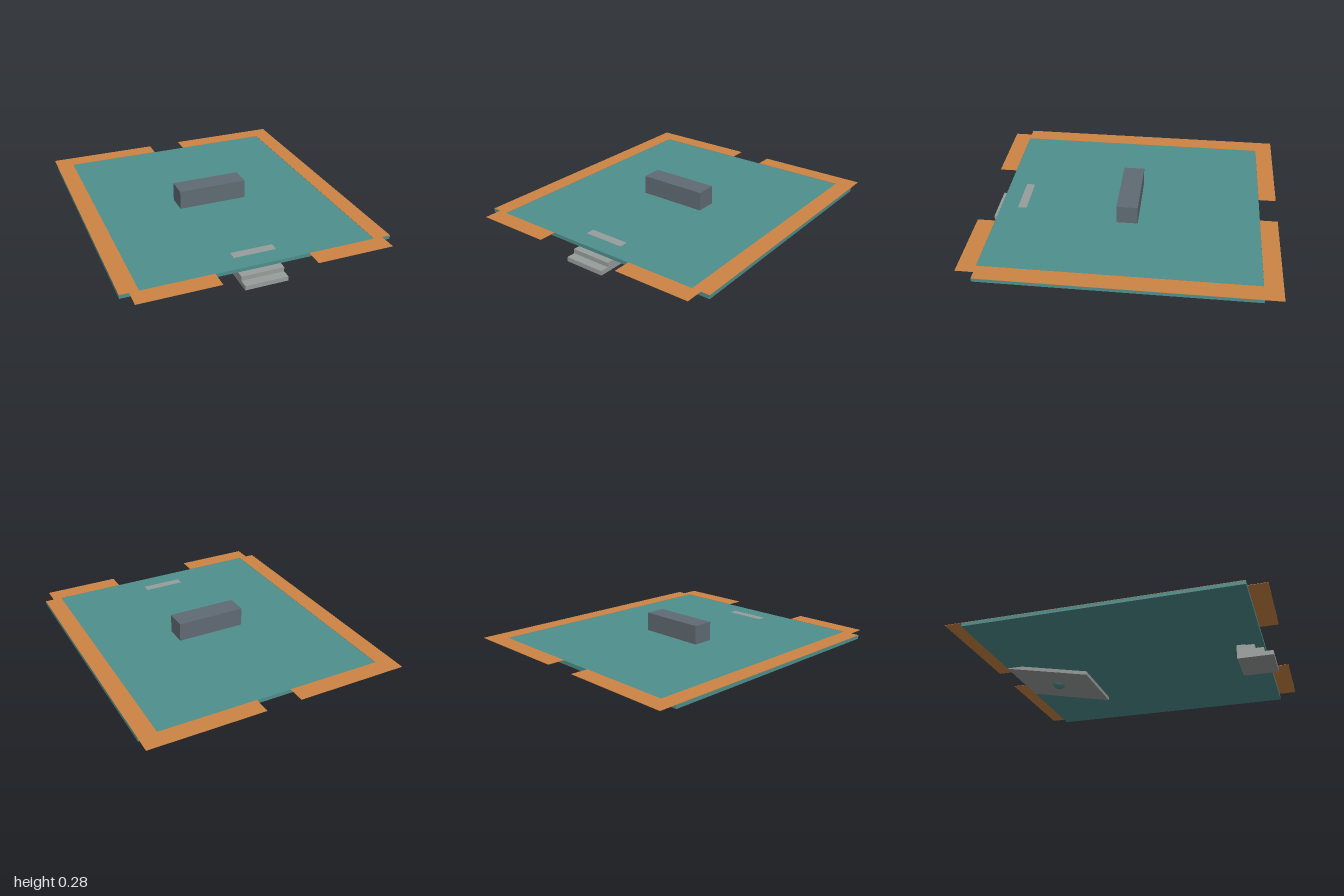
import * as THREE from 'three';

const flat = (name, color) => Object.assign(new THREE.MeshStandardMaterial({ color }), { name });

export function createModel() {
  const teal = flat('teal', 0x4e8f8d);
  const orange = flat('orange', 0xcd8444);
  const grey = flat('light grey', 0x979d9b);
  const slate = flat('slate', 0x606b74);

  const group = new THREE.Group();
  const add = (name, geometry, material, x = 0, y = 0, z = 0) => {
    const mesh = new THREE.Mesh(geometry, material);
    mesh.name = name;
    mesh.position.set(x, y, z);
    group.add(mesh);
  };
  const shapeOf = (points) => new THREE.Shape(points.map(([a, b]) => new THREE.Vector2(a, b)));

  // Side profile given as [z, y], extruded along x and centred
  const sideProfile = (points, width) =>
    new THREE.ExtrudeGeometry(shapeOf(points), { depth: width, bevelEnabled: false })
      .translate(0, 0, -width / 2)
      .rotateY(-Math.PI / 2);

  const deckTop = 0.147;
  const deckBottom = 0.123;
  const edge = 0.882;

  // Deck slab
  add('deck', new THREE.BoxGeometry(2 * edge, deckTop - deckBottom, 2 * edge), teal,
    0, (deckTop + deckBottom) / 2, 0);

  // Thin border plates, one per side, with gaps at front and back
  const border = [
    [0.118, -1], [edge, -1], [edge, edge], [0.823, edge], [0.823, 1],
    [0.306, 1], [0.306, edge], [0.765, edge], [0.765, -edge], [0.118, -edge],
  ];
  for (const side of [1, -1]) {
    const plate = new THREE.ExtrudeGeometry(
      shapeOf(border.map(([x, z]) => [side * x, -z])), { depth: 0.002, bevelEnabled: false });
    plate.rotateX(-Math.PI / 2);
    add(side > 0 ? 'leftBorder' : 'rightBorder', plate, orange, 0, deckTop, 0);
  }

  // Block in the middle of the deck
  add('centreBlock', new THREE.BoxGeometry(0.47, 0.128, 0.141), slate, 0, deckTop + 0.064, 0);

  // Front steps: four treads, the last one level with the deck
  const steps = [[0.706, 0.027], [0.941, 0.027]];
  for (let i = 0; i < 4; i++) {
    const z = 0.941 - i * 0.0588;
    const y = i < 3 ? 0.057 + i * 0.03 : deckTop + 0.0006;
    steps.push([z, y], [z - 0.0588, y]);
  }
  add('frontSteps', sideProfile(steps, 0.282), grey);

  // Ramp sloping down beneath the deck from its back edge
  add('ramp', sideProfile([
    [-0.294, 0], [-0.294, 0.025], [-0.88, 0.145], [-0.88, 0.12],
  ], 0.47), grey);

  // Ball set in the ramp
  add('rampBall', new THREE.SphereGeometry(0.047, 32, 16), teal, 0, 0.075, -0.587);

  return group;
}
